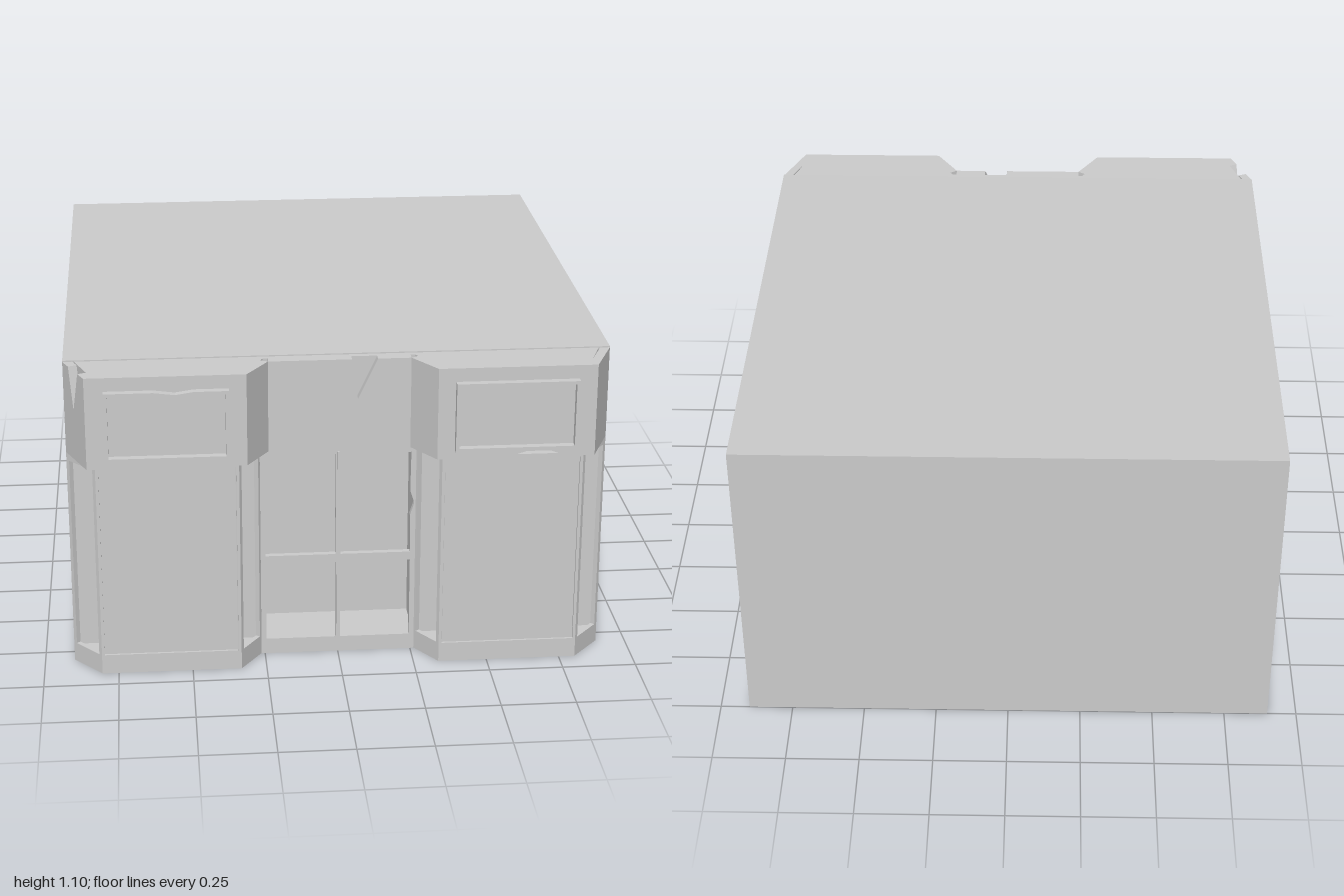
import * as THREE from 'three';

const material = new THREE.MeshStandardMaterial({ color: 0xcccccc, flatShading: true });
const toShape = pts => new THREE.Shape(pts.map(p => new THREE.Vector2(p[0], p[1])));
const extrude = (shape, depth) => new THREE.ExtrudeGeometry(shape, { depth, bevelEnabled: false });
const rect = (x0, x1, y0, y1) => [[x0, y0], [x1, y0], [x1, y1], [x0, y1]];
const mirrorPath = pts => [...pts, ...pts.map(([x, z]) => [-x, z]).reverse()];

function mesh(geometry, name) {
  const m = new THREE.Mesh(geometry, material);
  m.name = name;
  return m;
}

// Vertical prism from an (x, z) footprint
function prism(name, footprint, y0, y1) {
  const g = extrude(toShape(footprint), y1 - y0);
  g.rotateX(Math.PI / 2);
  g.translate(0, y1, 0);
  return mesh(g, name);
}

// Upright panel running from plan point a to b; local u along it, v is height.
// Its outer face lies on the line a-b and its thickness goes inward.
function wall(name, a, b, outline, holes = [], thickness = 0.03) {
  const shape = toShape(outline);
  holes.forEach(h => shape.holes.push(toShape(h)));
  const g = extrude(shape, thickness);
  g.translate(0, 0, -thickness);
  g.rotateY(Math.atan2(a[1] - b[1], b[0] - a[0]));
  g.translate(a[0], 0, a[1]);
  return mesh(g, name);
}

const length = (a, b) => Math.hypot(b[0] - a[0], b[1] - a[1]);

export function createModel() {
  const shop = new THREE.Group();
  shop.name = 'shopBuilding';

  // Main block: lower storey with a recessed entrance, upper part with a sloping roof
  shop.add(prism('lowerBlock', mirrorPath([
    [-0.9, -1], [-0.9, 0.81], [-0.26, 0.81], [-0.26, 0.62],
  ]), 0, 0.77));
  const upper = extrude(toShape([[-1, 0.77], [0.81, 0.77], [0.81, 1.083], [-1, 1.103]]), 1.8);
  upper.translate(0, 0, -0.9);
  upper.rotateY(-Math.PI / 2);
  shop.add(mesh(upper, 'upperBlock'));
  shop.add(prism('entranceFloor', rect(-0.27, 0.27, 0.6, 0.81), 0, 0.055));

  // Display bays with framed windows on three sides
  const bayPath = [[-0.9, 0.81], [-0.805, 0.92], [-0.335, 0.92], [-0.26, 0.81]];
  for (const side of [-1, 1]) {
    const path = side < 0 ? bayPath : bayPath.map(([x, z]) => [-x, z]).reverse();
    const bay = new THREE.Group();
    bay.name = side < 0 ? 'rightDisplayBay' : 'leftDisplayBay';
    bay.add(prism('plinth', path, 0, 0.06));
    bay.add(prism('header', path, 0.745, 0.77));
    for (let i = 0; i < 3; i++) {
      const [a, b] = [path[i], path[i + 1]];
      const w = length(a, b);
      const f = i === 1 ? 0.01 : 0.014;
      bay.add(wall('windowFrame', a, b, rect(0, w, 0.058, 0.748),
        [rect(f, w - f, 0.068, 0.737)], 0.016));
    }
    bay.add(wall('displayPanel', path[1], path[2],
      rect(0.005, length(path[1], path[2]) - 0.005, 0.06, 0.745), [], 0.01));
    bay.children.at(-1).position.z = -0.008;
    shop.add(bay);
  }

  // Double doors with four open panes, a chipped middle rail and a chipped right jamb
  const panes = [
    rect(-0.245, -0.008, 0.055, 0.335), rect(0.008, 0.245, 0.055, 0.335),
    rect(-0.245, -0.008, 0.365, 0.73),
    [[0.008, 0.365], [0.245, 0.365], [0.243, 0.5], [0.257, 0.545], [0.243, 0.59], [0.245, 0.73], [0.008, 0.73]],
  ];
  panes[0].splice(2, 1, [-0.008, 0.335], [-0.075, 0.335], [-0.11, 0.352], [-0.14, 0.335]);
  shop.add(wall('doubleDoors', [0, 0.815], [1, 0.815], rect(-0.262, 0.262, 0, 0.775), panes, 0.02));
  shop.add(mesh(new THREE.BoxGeometry(0.008, 0.68, 0.008).translate(0, 0.4, 0.817), 'doorSeam'));

  // Sign band: solid core faced with panels, with broken notches in some of them
  const half = [[-0.9, 0.81], [-0.83, 0.975], [-0.31, 0.975], [-0.235, 0.86]];
  const band = mirrorPath(half);
  shop.add(prism('signCore', mirrorPath([
    [-0.87, 0.79], [-0.81, 0.95], [-0.325, 0.95], [-0.25, 0.83],
  ]), 0.775, 1.079));
  shop.add(prism('signSoffit', band, 0.765, 0.775));
  const topChips = { 0: [0.05, 0.085, 0.13, 0.94], 3: [0.275, 0.295, 0.36, 0.94] };
  for (let i = 0; i < 7; i++) {
    const [a, b] = [band[i], band[i + 1]];
    const w = length(a, b);
    const bottom = 0.775;
    const outline = [[0, bottom]];
    if (i === 5) outline.push([0.26, bottom], [0.34, 0.798], [0.4, bottom]);
    outline.push([w, bottom], [w, 1.079]);
    if (topChips[i]) {
      const [u0, tip, u1, v] = topChips[i];
      outline.push([u1, 1.079], [tip, v], [u0, 1.079]);
    }
    outline.push([0, 1.079]);
    shop.add(wall('signBand', a, b, outline));
  }

  // Raised frames around the two sign boards
  for (const side of [-1, 1]) {
    const [x0, x1] = side < 0 ? [-0.77, -0.367] : [0.367, 0.77];
    const outer = rect(x0, x1, 0.797, 1.033);
    const inner = rect(x0 + 0.012, x1 - 0.012, 0.809, 1.021);
    if (side < 0) {
      // Broken top edge
      outer.splice(3, 0, [-0.48, 1.033], [-0.54, 1.024], [-0.61, 1.033]);
      inner.splice(3, 0, [-0.5, 1.021], [-0.54, 1.0], [-0.58, 1.021]);
    }
    shop.add(wall('signFrame', [0, 1], [1, 1], outer, [inner], 0.028));
  }

  return shop;
}
